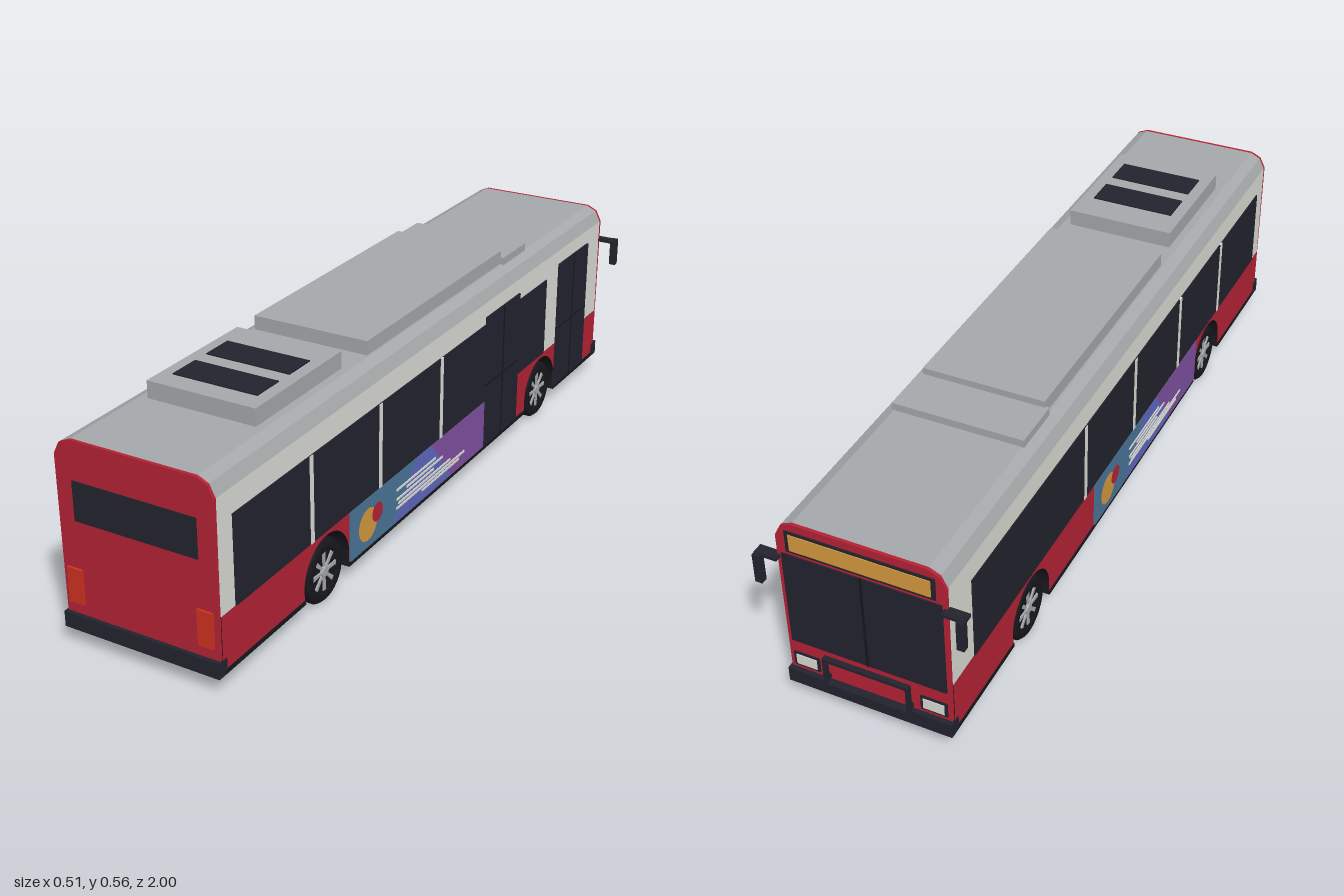
import * as THREE from 'three';

const mat = (name, color, extra = {}) => Object.assign(new THREE.MeshStandardMaterial({ color, ...extra }), { name });
const M = {
  red: mat('red paint', 0xb52236),
  white: mat('white paint', 0xdcdcd6),
  grey: mat('roof grey', 0xa5a9ab),
  dark: mat('dark glass', 0x22232e),
  black: mat('black rubber', 0x17171d),
  amber: mat('amber', 0xd69a3e),
  lamp: mat('tail lamp red', 0xd03022),
  blue: mat('poster blue', 0x4a7699),
  indigo: mat('poster indigo', 0x5f68bd),
  purple: mat('poster purple', 0x8050a0),
};

function add(parent, name, geo, material) {
  const m = new THREE.Mesh(geo, material);
  m.name = name;
  parent.add(m);
  return m;
}

// box given by its minimum and maximum on each axis
function block(parent, name, material, x0, x1, y0, y1, z0, z1) {
  const m = add(parent, name, new THREE.BoxGeometry(x1 - x0, y1 - y0, z1 - z0), material);
  m.position.set((x0 + x1) / 2, (y0 + y1) / 2, (z0 + z1) / 2);
  return m;
}

// thin plate on a wall group, whose outside is its local +z
const panel = (g, name, material, u0, u1, y0, y1, d = 0.003) => block(g, name, material, u0, u1, y0, y1, -0.003, d);

function wall(parent, name, angle, offset) {
  const g = new THREE.Group();
  g.name = name;
  g.rotation.y = angle;
  g.position.set(Math.sin(angle) * offset, 0, Math.cos(angle) * offset);
  parent.add(g);
  return g;
}

const polygon = (pts) => new THREE.Shape(pts.map(([x, y]) => new THREE.Vector2(x, y)));
const extrude = (shape, depth) => new THREE.ExtrudeGeometry(shape, { depth, bevelEnabled: false, curveSegments: 20 });

const W = 0.205, BACK = 0.982, NOSE = -0.967, AXLES = [0.565, -0.585];
const ROOF = [[W, 0.47], [0.19, 0.5], [0.163, 0.512], [-0.163, 0.512], [-0.19, 0.5], [-W, 0.47]];

function buildBody(bus) {
  // lower body in side profile, with wheel arches cut right through
  const s = new THREE.Shape();
  s.moveTo(-BACK, 0.19);
  s.lineTo(-BACK, 0.05);
  for (const z of AXLES) {
    const r = 0.098, a = Math.asin(0.03 / r);
    s.absarc(-z, 0.08, r, Math.PI + a, -a, true);
  }
  s.lineTo(-NOSE, 0.05);
  s.lineTo(-NOSE, 0.19);
  const lower = extrude(s, 2 * W).rotateY(Math.PI / 2).translate(-W, 0, 0);
  add(bus, 'lowerBody', lower, [M.red, M.black]);

  block(bus, 'upperBody', M.white, -W, W, 0.19, 0.47, NOSE, BACK);
  add(bus, 'roof', extrude(polygon(ROOF), BACK - NOSE).translate(0, 0, NOSE), M.grey);

  // red end caps
  const cap = polygon([[-W + 0.002, 0.05], [W - 0.002, 0.05], ...ROOF]);
  add(bus, 'rearCap', extrude(cap, 0.008).translate(0, 0, BACK), M.red);
  add(bus, 'noseCap', extrude(cap, 0.008).translate(0, 0, NOSE - 0.008), M.red);
  block(bus, 'rearBumper', M.dark, -0.207, 0.207, 0.045, 0.084, 0.97, 1);
  block(bus, 'noseBumper', M.dark, -0.207, 0.207, 0.045, 0.084, -0.987, -0.955);
  for (const [z0, z1] of [[-0.96, -0.68], [-0.49, 0.47], [0.66, 0.98]])
    block(bus, 'skirtTrim', M.black, -0.207, 0.207, 0.045, 0.056, z0, z1);
}

function buildRoofUnits(bus) {
  block(bus, 'roofPodStep', M.grey, -0.167, 0.167, 0.505, 0.531, -0.535, -0.4);
  block(bus, 'roofPod', M.grey, -0.157, 0.157, 0.505, 0.548, -0.405, 0.3);
  block(bus, 'airConditioner', M.grey, -0.143, 0.143, 0.505, 0.555, 0.393, 0.743);
  for (const z of [0.52, 0.647])
    block(bus, 'vent', M.dark, -0.112, 0.112, 0.55, 0.558, z - 0.042, z + 0.042);
}

// side poster: slanted colour bands, two discs and pale streaks
function buildPoster(side, centre) {
  const p = new THREE.Group();
  p.name = 'poster';
  p.position.x = centre;
  side.add(p);
  const y0 = 0.057, y1 = 0.19, e = 0.345;
  const bands = [[-e, -e, -0.15, -0.03], [-0.15, -0.03, 0.16, 0.05], [0.16, 0.05, e, e]];
  [M.blue, M.indigo, M.purple].forEach((m, i) => {
    const [a, b, c, d] = bands[i];
    add(p, 'posterBand', extrude(polygon([[a, y0], [c, y0], [d, y1], [b, y1]]), 0.004), m);
  });
  add(p, 'amberDisc', new THREE.CircleGeometry(0.043, 28).translate(-0.268, 0.12, 0.0055), M.amber);
  add(p, 'redDisc', new THREE.CircleGeometry(0.025, 24).translate(-0.226, 0.135, 0.007), M.red);
  for (const [a, b, y] of [[-0.13, 0.07, 0.146], [-0.08, 0.11, 0.133], [-0.13, 0.06, 0.12], [-0.12, 0.15, 0.107], [-0.13, 0.23, 0.096], [0, 0.2, 0.086]])
    panel(p, 'streak', M.white, a, b, y - 0.003, y + 0.003, 0.006);
}

function buildSide(bus, dir) {
  const g = wall(bus, dir > 0 ? 'leftSide' : 'rightSide', dir * Math.PI / 2, W);
  // plate from z0 to z1, whichever way the wall faces
  const plate = (name, m, z0, z1, y0, y1, d) =>
    panel(g, name, m, Math.min(-dir * z0, -dir * z1), Math.max(-dir * z0, -dir * z1), y0, y1, d);
  plate('windowBand', M.dark, dir > 0 ? -0.6 : -0.87, 0.93, 0.19, 0.41);
  for (const z of dir > 0 ? [0.63, 0.325, 0.02] : [0.63, 0.325, 0.02, -0.285])
    plate('windowPillar', M.white, z - 0.007, z + 0.007, 0.19, 0.41, 0.0045);
  buildPoster(g, -dir * 0.12);
  if (dir < 0) return;
  // two double-leaf doors
  for (const [z0, z1] of [[-0.425, -0.228], [-0.88, -0.68]]) {
    plate('door', M.dark, z0, z1, 0.058, 0.43, 0.005);
    const mid = (z0 + z1) / 2;
    plate('doorSeam', M.black, mid - 0.003, mid + 0.003, 0.058, 0.43, 0.006);
    plate('doorRail', M.black, z0, z1, 0.235, 0.24, 0.006);
  }
}

function buildEnds(bus) {
  const rear = wall(bus, 'rearEnd', 0, BACK + 0.008);
  panel(rear, 'rearWindow', M.dark, -0.161, 0.16, 0.32, 0.417);
  for (const s of [-1, 1])
    panel(rear, 'tailLamp', M.lamp, s * 0.172 - 0.02, s * 0.172 + 0.02, 0.112, 0.2, 0.006);

  const nose = wall(bus, 'noseEnd', Math.PI, -NOSE + 0.008);
  panel(nose, 'windscreen', M.dark, -0.194, 0.194, 0.168, 0.425);
  panel(nose, 'windscreenSeam', M.black, -0.003, 0.003, 0.168, 0.425, 0.0045);
  panel(nose, 'signFrame', M.dark, -0.18, 0.18, 0.434, 0.492);
  panel(nose, 'destinationSign', M.amber, -0.17, 0.17, 0.441, 0.485, 0.005);
  for (const s of [-1, 1]) {
    panel(nose, 'headlightFrame', M.dark, s * 0.16 - 0.033, s * 0.16 + 0.033, 0.094, 0.134);
    panel(nose, 'headlight', M.white, s * 0.16 - 0.026, s * 0.16 + 0.026, 0.1, 0.128, 0.005);
  }
  // folded rack in front of the nose
  for (const y of [0.078, 0.153])
    block(nose, 'rackRail', M.dark, -0.108, 0.108, y, y + 0.008, 0.008, 0.021);
  for (const x of [-0.108, 0.1]) {
    block(nose, 'rackPost', M.dark, x, x + 0.008, 0.078, 0.161, 0.008, 0.021);
    block(nose, 'rackMount', M.dark, x, x + 0.008, 0.09, 0.1, 0, 0.01);
  }
  // mirrors on short arms
  for (const s of [-1, 1]) {
    const arm = block(bus, 'mirrorArm', M.dark, -0.028, 0.028, 0.409, 0.417, -0.992, -0.965);
    arm.position.x = s * 0.226;
    const mirror = block(bus, 'mirror', M.dark, -0.009, 0.009, 0.338, 0.415, -1, -0.983);
    mirror.position.x = s * 0.245;
  }
}

function buildWheel(bus, dir, z) {
  const g = wall(bus, 'wheel', dir * Math.PI / 2, 0);
  g.position.set(dir * 0.2, 0.08, z);
  // tyre with rounded shoulders and a recessed rim
  const profile = [[0, -0.09], [0.072, -0.09], [0.08, -0.08], [0.08, -0.008], [0.073, 0], [0.053, 0], [0.05, -0.006], [0, -0.006]];
  const tyre = new THREE.LatheGeometry(profile.map(([r, y]) => new THREE.Vector2(r, y)), 32).rotateX(Math.PI / 2);
  add(g, 'tyre', tyre, M.black);
  add(g, 'hub', new THREE.CylinderGeometry(0.013, 0.015, 0.008, 16).rotateX(Math.PI / 2).translate(0, 0, -0.003), M.grey);
  for (let i = 0; i < 8; i++) {
    const spoke = polygon([[0.008, -0.003], [0.05, -0.0055], [0.05, 0.0055], [0.008, 0.003]]);
    add(g, 'spoke', extrude(spoke, 0.005).translate(0, 0, -0.007).rotateZ(i * Math.PI / 4), M.grey);
  }
}

export function createModel() {
  const bus = new THREE.Group();
  bus.name = 'cityBus';
  buildBody(bus);
  buildRoofUnits(bus);
  for (const dir of [1, -1]) {
    buildSide(bus, dir);
    for (const z of AXLES) buildWheel(bus, dir, z);
  }
  buildEnds(bus);
  return bus;
}
